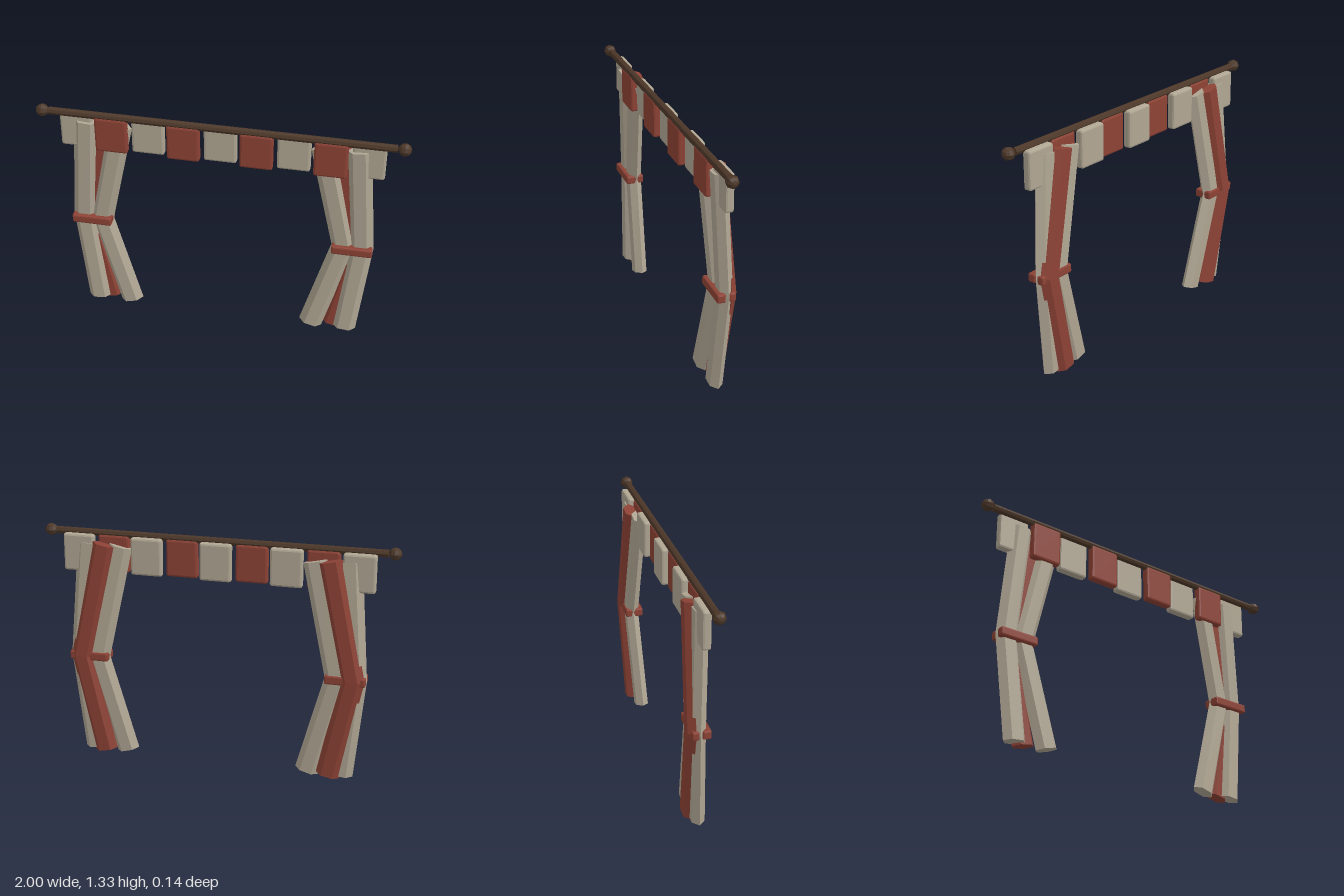
import * as THREE from 'three';
import { RoundedBoxGeometry } from 'three/addons/geometries/RoundedBoxGeometry.js';

function material(name, color, flatShading = true) {
  const m = new THREE.MeshStandardMaterial({ color, flatShading });
  m.name = name;
  return m;
}

// Flattened six-sided fold following three points: bottom, tie, top
function foldGeometry(points, rx, rz) {
  const p = points.map((a) => new THREE.Vector3(...a));
  const tangents = [p[1].clone().sub(p[0]), p[2].clone().sub(p[0]), p[2].clone().sub(p[1])];
  const geo = new THREE.CylinderGeometry(1, 1, 2, 6, 2).rotateY(Math.PI / 2);
  const pos = geo.attributes.position;
  for (let i = 0; i < pos.count; i++) {
    const ring = Math.round(pos.getY(i)) + 1;
    const t = tangents[ring].normalize();
    const side = new THREE.Vector3(t.y, -t.x, 0).normalize();
    const depth = side.clone().cross(t);
    const v = p[ring].clone()
      .addScaledVector(side, pos.getX(i) * rx)
      .addScaledVector(depth, pos.getZ(i) * rz);
    pos.setXYZ(i, v.x, v.y, v.z);
  }
  geo.computeVertexNormals();
  return geo;
}

export function createModel() {
  const model = new THREE.Group();
  model.name = 'curtains';
  const cream = material('cream cloth', 0xb0a693);
  const red = material('red cloth', 0x8d4235);
  const wood = material('dark wood', 0x4c3728);

  const add = (parent, name, geo, mat, x = 0, y = 0, z = 0) => {
    const mesh = new THREE.Mesh(geo, mat);
    mesh.name = name;
    mesh.position.set(x, y, z);
    parent.add(mesh);
    return mesh;
  };
  const box = (w, h, d, r) => new RoundedBoxGeometry(w, h, d, 1, r);

  // Rod and finials
  add(model, 'rod', new THREE.CylinderGeometry(0.021, 0.021, 1.86, 8).rotateZ(Math.PI / 2),
    wood, 0, 1.307, 0.032);
  for (const s of [-1, 1]) {
    add(model, 'finial', new THREE.SphereGeometry(0.035, 8, 6).rotateZ(Math.PI / 2),
      wood, s * 0.966, 1.307, 0.034);
  }

  // Valance panels, alternating colour and depth
  for (let i = -4; i <= 4; i++) {
    const odd = i % 2 !== 0;
    add(model, 'valancePanel', box(0.178, 0.21, 0.048, 0.012), odd ? red : cream,
      i * 0.197, 1.197, odd ? 0.031 : 0.004);
  }

  // One curtain on each side, gathered at the tie
  for (const s of [-1, 1]) {
    const curtain = new THREE.Group();
    curtain.name = s > 0 ? 'leftCurtain' : 'rightCurtain';
    model.add(curtain);
    const fold = (name, mat, pts) => add(curtain, name,
      foldGeometry(pts.map(([x, y, z]) => [s * x, y, z]), 0.067, 0.041), mat);
    fold('outerFold', cream, [[0.725, 0.025, 0.009], [0.786, 0.6, -0.012], [0.735, 1.255, 0.009]]);
    fold('innerFold', cream, [[0.53, 0.027, 0.009], [0.687, 0.6, -0.012], [0.548, 1.245, 0.009]]);
    fold('backFold', red, [[0.655, 0.025, -0.019], [0.777, 0.6, -0.034], [0.635, 1.255, -0.019]]);

    // Tie band, open at its outer end
    add(curtain, 'tieFront', box(0.225, 0.05, 0.047, 0.009), red, s * 0.737, 0.6, 0.024);
    add(curtain, 'tieBack', box(0.225, 0.05, 0.04, 0.009), red, s * 0.737, 0.6, -0.035);
    add(curtain, 'tieSide', box(0.04, 0.05, 0.102, 0.009), red, s * 0.644, 0.6, -0.004);
  }
  return model;
}
